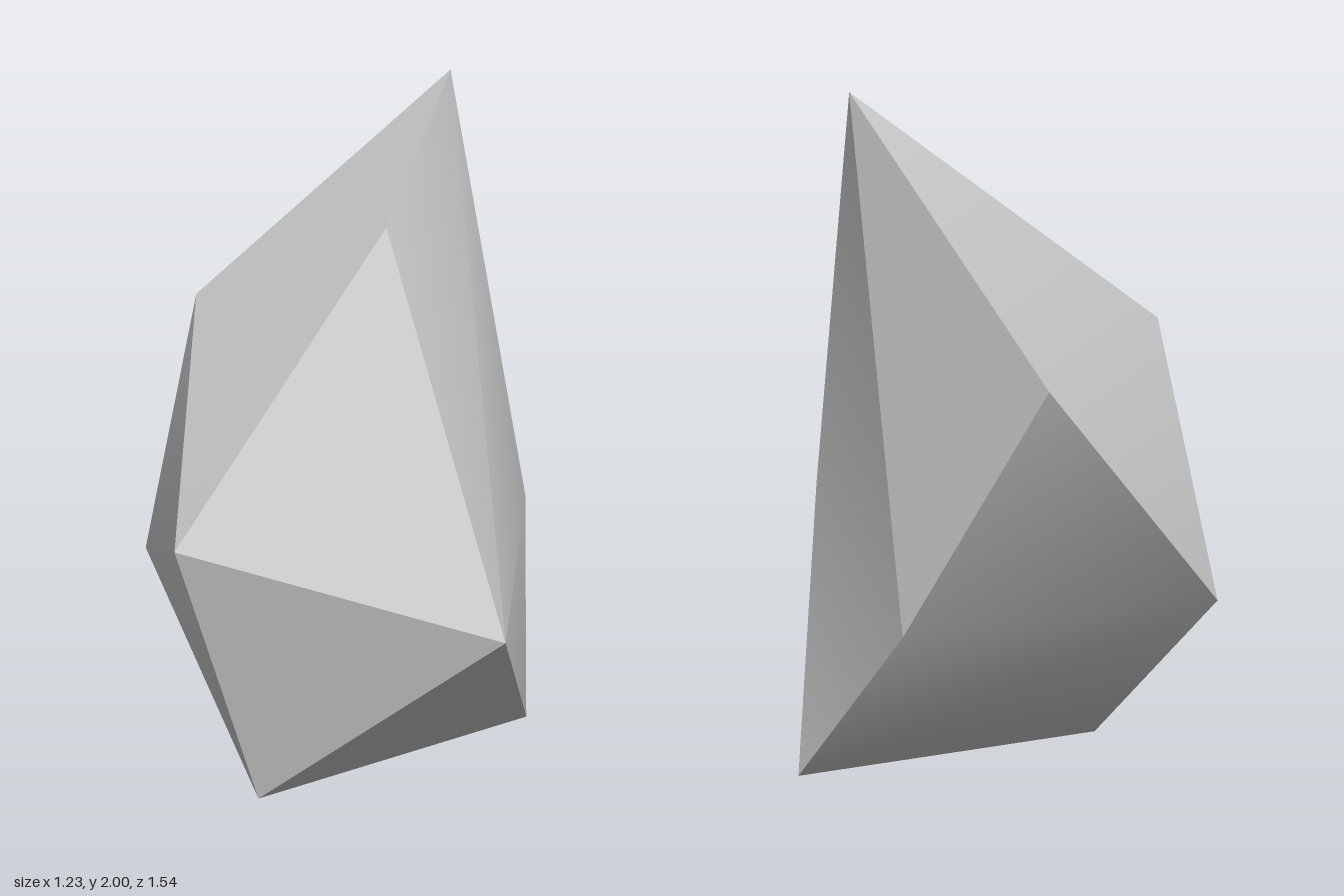
import * as THREE from 'three';
import { toCreasedNormals } from 'three/addons/utils/BufferGeometryUtils.js';

// Named corners of the shard
const corners = {
  A: [0.61, 2.0, -0.51],   // tip
  B: [0.03, 1.73, 0.07],   // upper shoulder
  C: [-0.62, 0.85, -0.01], // side corner
  D: [-0.01, 0.75, 0.77],  // front corner
  E: [-0.4, 0, 0.05],      // base edge, one end
  F: [0.58, 0, 0.05],      // base edge, other end
  G: [0.17, 1.24, -0.77],  // back ridge
  H: [0.47, 0.85, 0.16],   // side hollow
  I: [-0.44, 0.58, -0.61], // lower back corner
  J: [0.43, 0.52, -0.4],   // lower side corner
  K: [-0.24, 1.39, -0.6],  // upper back corner
};

// Triangular facets
const facets = [
  'ABK', 'BCK',                // top
  'BCD', 'ABD', 'ADH', 'DFH',  // front
  'CDE', 'DEF',                // lower front
  'AHJ', 'HFJ',                // side
  'AJG', 'AKG', 'GKI',         // upper back
  'KCI', 'CEI',                // far side
  'GJI', 'JFI', 'FEI',         // underside
];

export function createModel() {
  const centre = new THREE.Vector3(0, 0.85, 0);
  const positions = [];
  for (const facet of facets) {
    const tri = [...facet].map((k) => new THREE.Vector3(...corners[k]));
    // Turn every facet outward from the centre
    const normal = new THREE.Triangle(...tri).getNormal(new THREE.Vector3());
    if (normal.dot(tri[0].clone().sub(centre)) < 0) tri.reverse();
    tri.forEach((p) => positions.push(p.x, p.y, p.z));
  }
  const geometry = new THREE.BufferGeometry();
  geometry.setAttribute('position', new THREE.Float32BufferAttribute(positions, 3));

  // Shallow folds shade softly, strong ones stay sharp
  const rock = new THREE.Mesh(
    toCreasedNormals(geometry, 0.55),
    new THREE.MeshStandardMaterial({ color: 0xcccccc }),
  );
  rock.name = 'rockShard';

  const group = new THREE.Group();
  group.name = 'rock';
  group.add(rock);
  return group;
}
